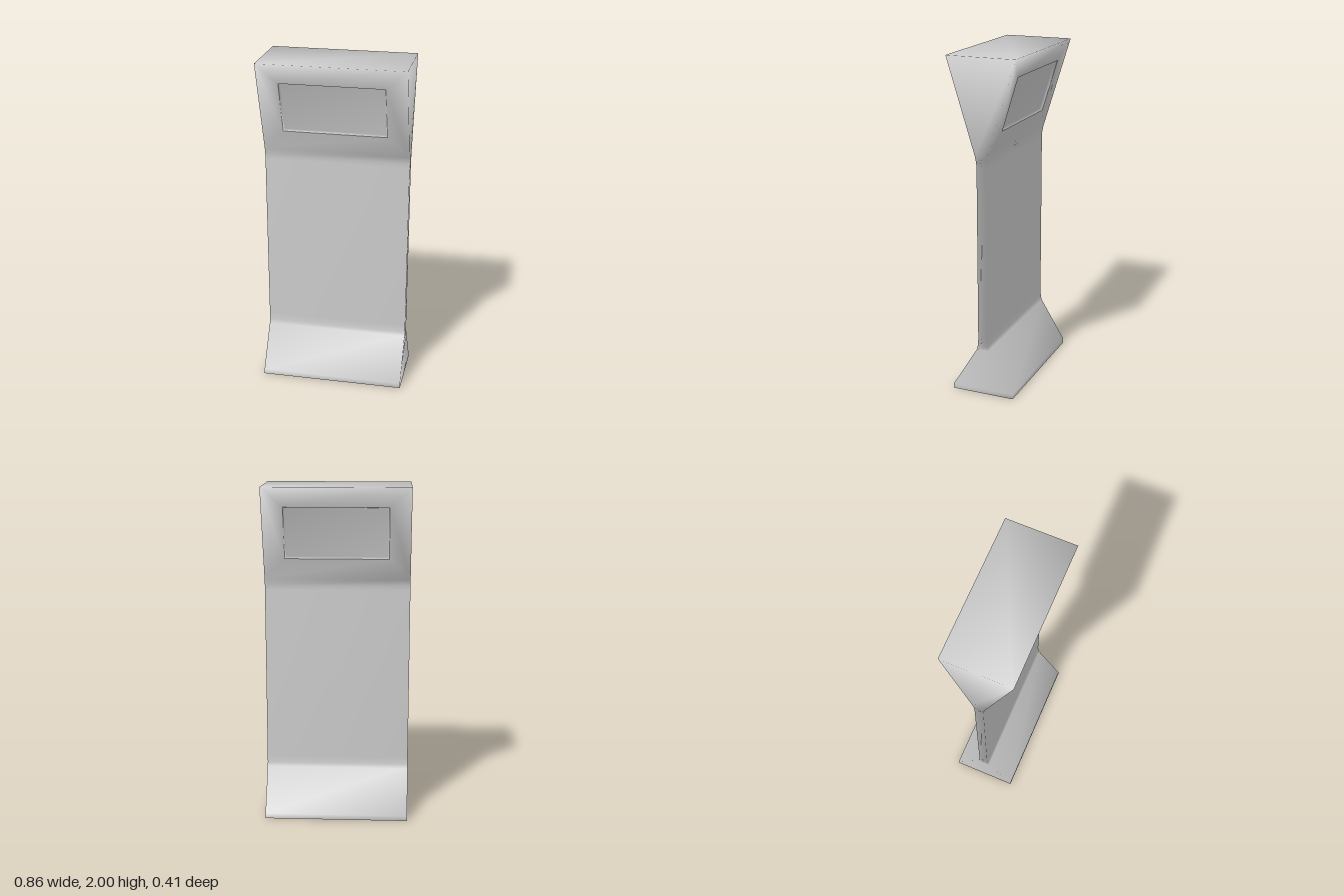
import * as THREE from 'three';
import { mergeVertices } from 'three/addons/utils/BufferGeometryUtils.js';

const W = 0.43; // half width
// Half-thickness profile from the floor to the top: [y, z]
const PROFILE = [[0, 0.19], [0.03, 0.19], [0.28, 0.037], [0.305, 0.03], [0.35, 0.027],
  [1.38, 0.027], [1.41, 0.029], [1.45, 0.037], [2, 0.207]];

// Smooth surface from four-cornered faces (corners counter-clockwise)
function quadMesh(name, quads, material) {
  const pos = [];
  for (const [a, b, c, d] of quads) for (const p of [a, b, c, a, c, d]) pos.push(...p);
  let geo = new THREE.BufferGeometry();
  geo.setAttribute('position', new THREE.Float32BufferAttribute(pos, 3));
  geo = mergeVertices(geo, 1e-5);
  geo.computeVertexNormals();
  const mesh = new THREE.Mesh(geo, material);
  mesh.name = name;
  return mesh;
}

// Quads filling the gap between two four-cornered loops
const between = (outer, inner) => outer.map((p, i) => {
  const j = (i + 1) % 4;
  return [p, outer[j], inner[j], inner[i]];
});

export function createModel() {
  const group = new THREE.Group();
  group.name = 'kiosk';
  const material = new THREE.MeshStandardMaterial({ color: 0xcccccc, side: THREE.DoubleSide });

  // Sloping head face and the opening in it
  const [low, high] = PROFILE.slice(-2);
  const slope = (high[1] - low[1]) / (high[0] - low[0]);
  const faceZ = y => low[1] + (y - low[0]) * slope;
  const len = Math.hypot(1, slope);
  const loop = (hw, y0, y1, depth = 0) => [[-hw, y0], [hw, y0], [hw, y1], [-hw, y1]]
    .map(([x, y]) => [x, y + depth * slope / len, faceZ(y) - depth / len]);
  const opening = loop(0.305, 1.575, 1.883);
  const recess = loop(0.297, 1.582, 1.876, 0.015);

  const shell = [];
  for (const s of [1, -1]) {
    // The back is the front turned half round
    const turn = quad => quad.map(([x, y, z]) => [x * s, y, z * s]);
    for (let i = 0; i < PROFILE.length - 1; i++) {
      const [y0, z0] = PROFILE[i], [y1, z1] = PROFILE[i + 1];
      const front = [[-W, y0, z0], [W, y0, z0], [W, y1, z1], [-W, y1, z1]];
      const isHead = i === PROFILE.length - 2;
      const faces = isHead ? between(front, opening) : [front];
      faces.push([[W, y0, z0], [W, y0, -z0], [W, y1, -z1], [W, y1, z1]]);
      shell.push(...faces.map(turn));
    }
    // Recessed screen with its narrow rim
    group.add(quadMesh(s > 0 ? 'frontScreen' : 'backScreen',
      [...between(opening, recess), recess].map(turn), material));
  }
  // Flat top; the foot stays open underneath
  const [ty, tz] = high;
  shell.push([[-W, ty, tz], [W, ty, tz], [W, ty, -tz], [-W, ty, -tz]]);
  group.add(quadMesh('body', shell, material));
  return group;
}
